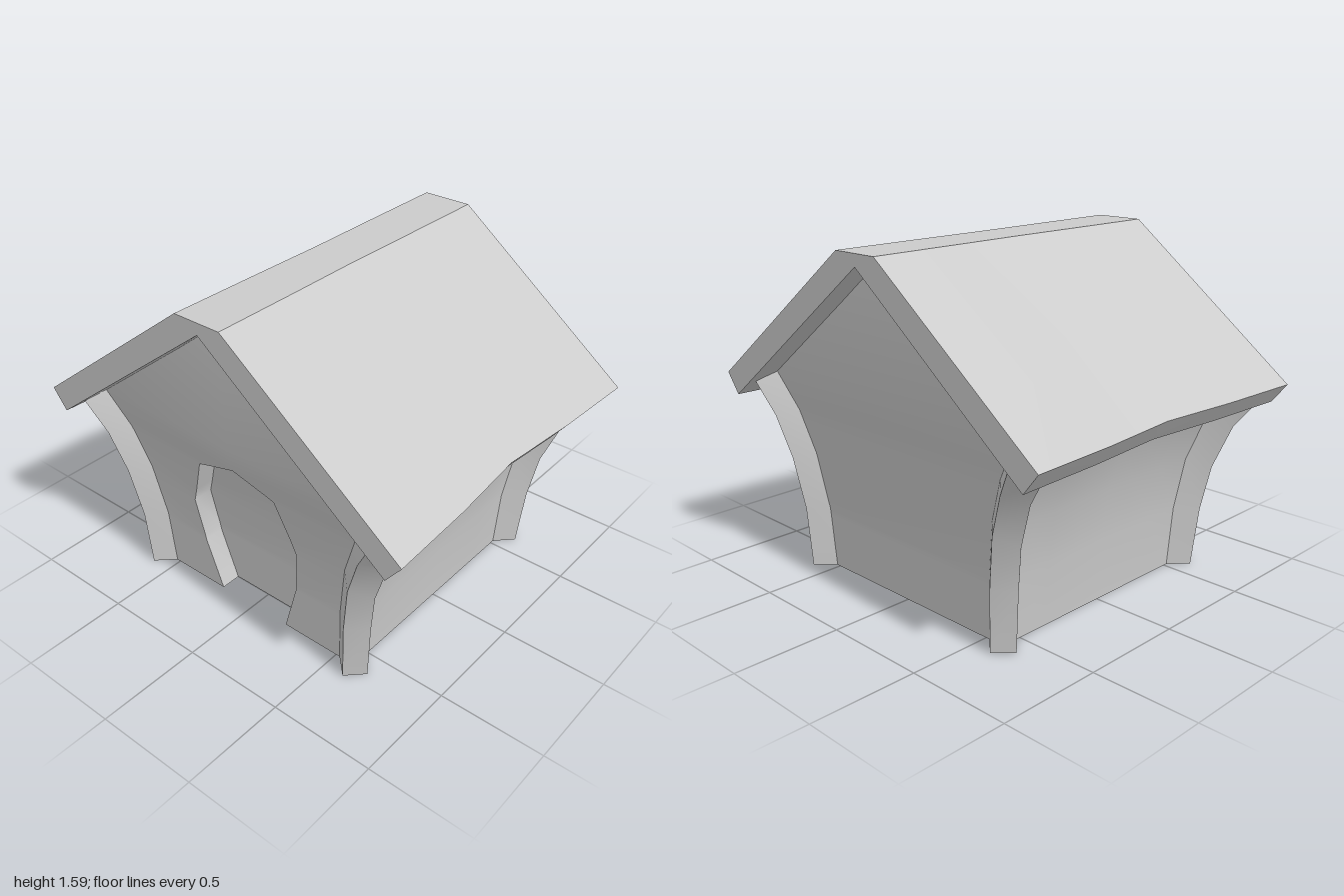
import * as THREE from 'three';
import { toCreasedNormals } from 'three/addons/utils/BufferGeometryUtils.js';

const material = new THREE.MeshStandardMaterial({ color: 0xcccccc, side: THREE.DoubleSide });

// Skin between rows of points: columns run to the right, rows run upwards
function loft(name, rows) {
  const pos = [];
  for (let r = 0; r < rows.length - 1; r++) {
    for (let i = 0; i < rows[r].length - 1; i++) {
      const a = rows[r][i], b = rows[r][i + 1], c = rows[r + 1][i + 1], d = rows[r + 1][i];
      pos.push(...a, ...b, ...c, ...a, ...c, ...d);
    }
  }
  const g = new THREE.BufferGeometry();
  g.setAttribute('position', new THREE.Float32BufferAttribute(pos, 3));
  return mesh(name, toCreasedNormals(g, 0.5));
}

function mesh(name, geometry) {
  const m = new THREE.Mesh(geometry, material);
  m.name = name;
  return m;
}

function flat(name, points) {
  return mesh(name, new THREE.ShapeGeometry(new THREE.Shape(points.map(p => new THREE.Vector2(...p)))));
}

// Linear interpolation in a table of [position, value]
function lerpTable(table, y) {
  for (let i = 1; i < table.length; i++) {
    const [y0, v0] = table[i - 1], [y1, v1] = table[i];
    if (y <= y1) return v0 + (v1 - v0) * (y - y0) / (y1 - y0);
  }
  return table[table.length - 1][1];
}

// Gable half width, gable depth and doorway half width by height
const gableHalf = [[0, 0.52], [0.29, 0.535], [0.564, 0.583], [0.767, 0.658], [0.944, 0.765], [1.53, 0]];
const gableZ = [[0, 0.6], [0.29, 0.615], [0.564, 0.645], [0.767, 0.675], [0.944, 0.715], [1.53, 0.72]];
const doorHalf = [[0, 0.2], [0.26, 0.28], [0.49, 0.31], [0.75, 0.22], [0.82, 0]];
const recess = 0.1;

// Flared post, four edges per level: front wall, outer front, outer side, side wall
const post = [
  [[0.52, 0, 0.6], [0.603, 0, 0.68], [0.68, 0, 0.603], [0.6, 0, 0.52]],
  [[0.535, 0.29, 0.615], [0.618, 0.29, 0.695], [0.706, 0.286, 0.62], [0.618, 0.29, 0.53]],
  [[0.583, 0.564, 0.645], [0.662, 0.543, 0.725], [0.743, 0.5, 0.645], [0.66, 0.543, 0.55]],
  [[0.658, 0.767, 0.675], [0.735, 0.74, 0.755], [0.823, 0.708, 0.68], [0.735, 0.74, 0.575]],
  [[0.765, 0.944, 0.715], [0.824, 0.895, 0.795], [0.912, 0.828, 0.715], [0.82, 0.9, 0.62]],
];

const pinch = [[-0.83, 1], [-0.4, 0.98], [0, 0.945], [0.4, 0.98], [0.83, 1]];

function createRoof() {
  const roof = new THREE.Group();
  roof.name = 'roof';
  const profile = [[-1, 0.915], [-0.12, 1.585], [0.12, 1.585], [1, 0.915], [0.925, 0.82], [0, 1.53], [-0.925, 0.82]];
  const ring = [...profile, profile[0]];
  // Sections from front to back, narrowing in the middle
  const rows = [...pinch].reverse().map(([z, s]) => ring.map(([x, y]) => [x * s, y, z]));
  roof.add(loft('roofShell', rows));
  const front = flat('roofFrontEnd', profile);
  front.position.z = 0.83;
  const back = flat('roofBackEnd', profile);
  back.rotation.y = Math.PI;
  back.position.z = -0.83;
  roof.add(front, back);
  return roof;
}

export function createModel() {
  const model = new THREE.Group();
  model.name = 'gabledHut';
  model.add(createRoof());

  // Heights where the front wall or the doorway bends
  const levels = [0, 0.26, 0.29, 0.49, 0.564, 0.75, 0.767, 0.82, 0.944, 1.53].map(y => ({
    y, w: lerpTable(gableHalf, y), z: lerpTable(gableZ, y), d: lerpTable(doorHalf, y),
  }));
  const doorLevels = levels.filter(l => l.y <= 0.82);

  // Front wall halves and doorway reveals
  for (const side of [1, -1]) {
    const wall = loft('frontWall', levels.map(l => [[l.d, l.y, l.z], [l.w, l.y, l.z]]));
    const reveal = loft('doorReveal', doorLevels.map(l => [[l.d, l.y, l.z - recess], [l.d, l.y, l.z]]));
    wall.scale.x = reveal.scale.x = side;
    model.add(wall, reveal);
  }
  model.add(loft('doorPanel', doorLevels.map(l => [[-l.d, l.y, l.z - recess], [l.d, l.y, l.z - recess]])));

  // Back wall
  const back = loft('backWall', levels.map(l => [[-l.w, l.y, l.z], [l.w, l.y, l.z]]));
  back.rotation.y = Math.PI;
  model.add(back);

  // Side walls, drawn in towards the middle under the eaves
  const sideRows = post.map(level => {
    const [x, y, z] = level[3];
    const flare = (x - 0.6) / 0.22;
    return [1, 0.65, 0.3, 0, -0.3, -0.65, -1].map(t => {
      const s = lerpTable(pinch, t * z) / lerpTable(pinch, z);
      return [x * (1 + (s - 1) * flare), y, t * z];
    });
  });
  for (const side of [1, -1]) {
    const wall = loft('sideWall', sideRows);
    wall.scale.x = side;
    model.add(wall);
  }

  // Corner posts with their feet
  for (const sx of [1, -1]) {
    for (const sz of [1, -1]) {
      const corner = new THREE.Group();
      corner.name = 'cornerPost';
      const [a, b, c, d] = post[0];
      corner.add(loft('postShaft', post), loft('postFoot', [[a, d], [b, c]]));
      corner.scale.set(sx, 1, sz);
      model.add(corner);
    }
  }

  // Floor with the doorway notch, facing down
  const floor = flat('floor', [
    [-0.52, -0.6], [0.52, -0.6], [0.6, -0.52], [0.6, 0.52], [0.52, 0.6], [0.2, 0.6],
    [0.2, 0.5], [-0.2, 0.5], [-0.2, 0.6], [-0.52, 0.6], [-0.6, 0.52], [-0.6, -0.52],
  ]);
  floor.rotation.x = Math.PI / 2;
  model.add(floor);

  return model;
}
